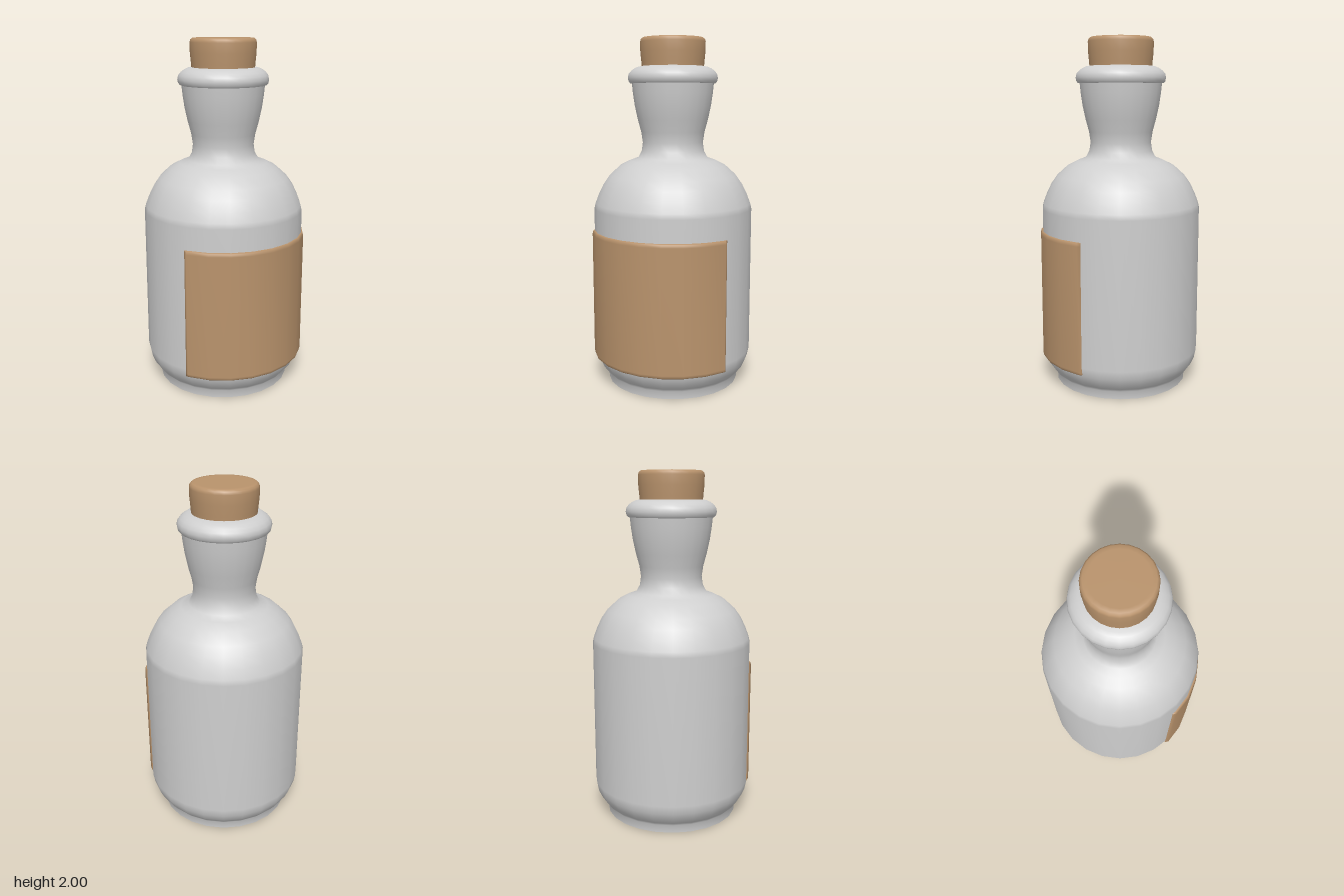
import * as THREE from 'three';

const SIDES = 24;
const glass = new THREE.MeshStandardMaterial({ color: 0xcfcfcf });
glass.name = 'pale grey glass';
const tan = new THREE.MeshStandardMaterial({ color: 0xb9936c });
tan.name = 'cork tan';

const toPoints = (profile) => profile.map(([r, y]) => new THREE.Vector2(r, y));

// Turned part from a bottom-to-top profile of [radius, height]
function turned(name, profile, material) {
  const mesh = new THREE.Mesh(new THREE.LatheGeometry(toPoints(profile), SIDES), material);
  mesh.name = name;
  return mesh;
}

// Curved label: a partial turning whose end columns are bent down into the bottle
function makeLabel() {
  const profile = [[0.445, 0.15], [0.464, 0.15], [0.47, 0.156], [0.473, 0.17],
    [0.473, 0.88], [0.47, 0.895], [0.464, 0.901], [0.445, 0.901]];
  const angles = [-62.3, -62.3, -60.3, -45, -30, -15, 0, 15, 30, 45, 60.3, 62.3, 62.3];
  const limits = angles.map((a, i) => {
    const fromEnd = Math.min(i, angles.length - 1 - i);
    return fromEnd === 0 ? 0.445 : fromEnd === 1 ? 0.462 : 1;
  });
  const geometry = new THREE.LatheGeometry(toPoints(profile), angles.length - 1);
  const pos = geometry.attributes.position;
  for (let i = 0; i < pos.count; i++) {
    const column = Math.floor(i / profile.length);
    const r = Math.min(profile[i % profile.length][0], limits[column]);
    const a = THREE.MathUtils.degToRad(angles[column]);
    pos.setXYZ(i, r * Math.sin(a), pos.getY(i), r * Math.cos(a));
  }
  geometry.computeVertexNormals();
  const mesh = new THREE.Mesh(geometry, tan);
  mesh.name = 'label';
  return mesh;
}

export function createModel() {
  const bottle = new THREE.Group();
  bottle.name = 'bottle';

  // Flat underside
  bottle.add(turned('base', [[0, 0], [0.386, 0]], glass));

  // Foot, belly, shoulder and flared neck
  bottle.add(turned('body', [
    [0.386, 0], [0.388, 0.045], [0.405, 0.065], [0.432, 0.1], [0.45, 0.14], [0.46, 0.19],
    [0.46, 1.03], [0.453, 1.06], [0.432, 1.115], [0.405, 1.17], [0.37, 1.22],
    [0.307, 1.277], [0.25, 1.305], [0.203, 1.322], [0.182, 1.36], [0.175, 1.41],
    [0.184, 1.47], [0.203, 1.54], [0.22, 1.62], [0.23, 1.69], [0.236, 1.75],
  ], glass));

  // Rounded lip, with its flat underside as a separate ring
  bottle.add(turned('lipUnderside', [[0.22, 1.744], [0.245, 1.744]], glass));
  bottle.add(turned('lip', [
    [0.245, 1.744], [0.254, 1.755], [0.258, 1.775], [0.253, 1.797],
    [0.238, 1.815], [0.22, 1.828], [0.2, 1.837], [0.165, 1.843],
  ], glass));

  // Stopper with a softened top edge
  bottle.add(turned('cork', [
    [0.178, 1.82], [0.18, 1.86], [0.186, 1.92], [0.187, 1.975],
    [0.183, 1.99], [0.172, 1.999], [0.15, 2], [0, 2],
  ], tan));

  bottle.add(makeLabel());

  // Centre the bottle and its label together
  bottle.position.z = -0.007;
  const model = new THREE.Group();
  model.name = 'corkedBottle';
  model.add(bottle);
  return model;
}
